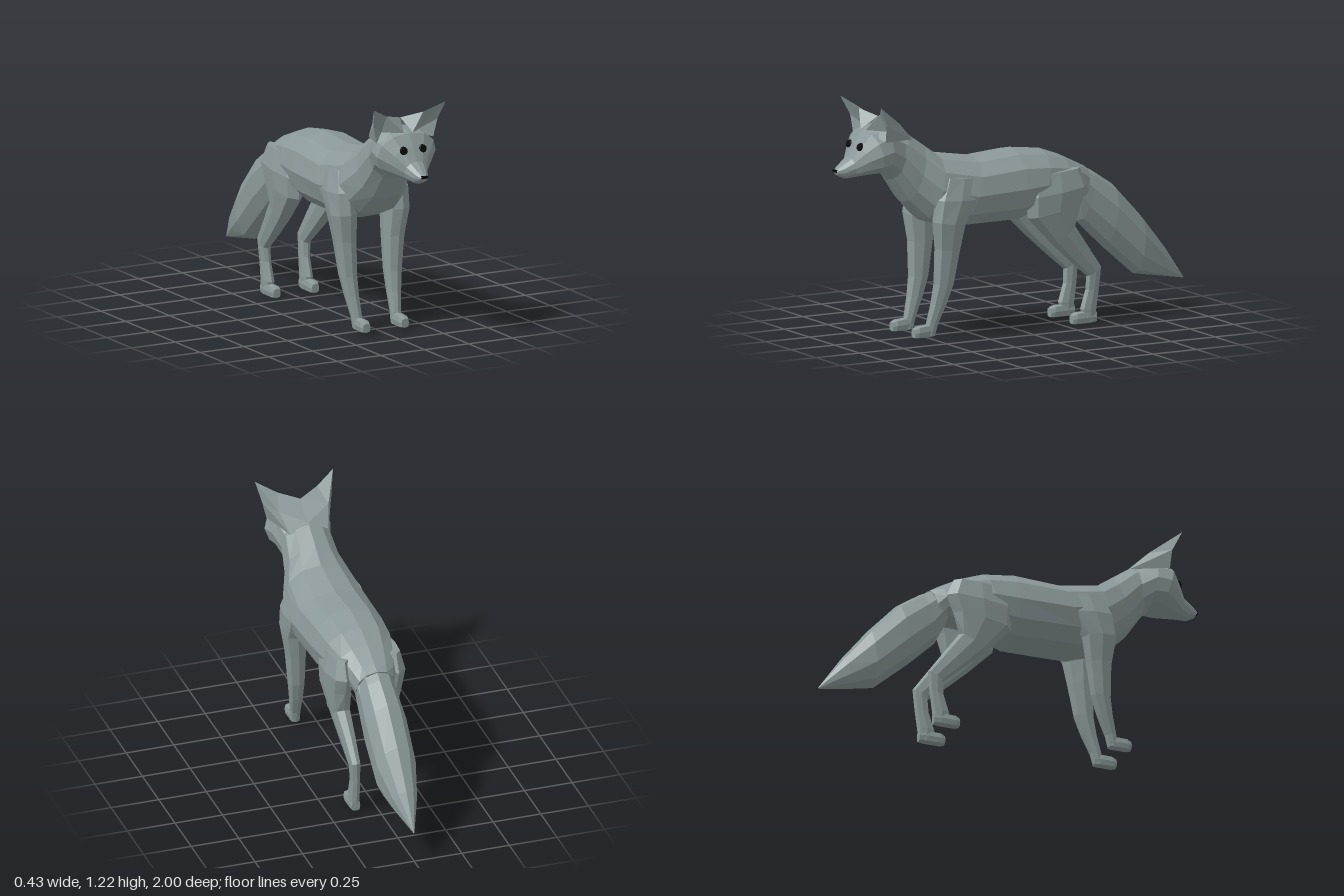
import * as THREE from 'three';

const fur = new THREE.MeshStandardMaterial({ color: 0x8b9899, flatShading: true, side: THREE.DoubleSide });
fur.name = 'greyFur';
const black = new THREE.MeshStandardMaterial({ color: 0x080808, flatShading: true });
black.name = 'black';

// Loft through oval rings; each section is [z1, y1, z2, y2, halfWidth, centreX],
// where (z1, y1) and (z2, y2) are opposite ends of the oval in the side plane.
function loft(sections, sides, power = 0.92) {
  const pos = [], index = [];
  const soft = (v) => Math.sign(v) * Math.pow(Math.abs(v), power);
  for (const [z1, y1, z2, y2, w, cx = 0] of sections) {
    for (let j = 0; j < sides; j++) {
      const a = (j / sides) * Math.PI * 2, c = soft(Math.cos(a));
      pos.push(cx + w * soft(Math.sin(a)), (y1 + y2) / 2 + c * (y1 - y2) / 2, (z1 + z2) / 2 + c * (z1 - z2) / 2);
    }
  }
  for (let i = 0; i < sections.length - 1; i++) {
    for (let j = 0; j < sides; j++) {
      const k = (j + 1) % sides, a = i * sides + j, b = i * sides + k;
      index.push(a, b, b + sides, a, b + sides, a + sides);
    }
  }
  // End caps
  const last = (sections.length - 1) * sides;
  for (let j = 1; j < sides - 1; j++) index.push(0, j + 1, j, last, last + j, last + j + 1);
  const g = new THREE.BufferGeometry();
  g.setAttribute('position', new THREE.Float32BufferAttribute(pos, 3));
  g.setIndex(index);
  const flat = g.toNonIndexed();
  flat.computeVertexNormals();
  return flat;
}

function add(parent, name, geometry, material = fur) {
  const mesh = new THREE.Mesh(geometry, material);
  mesh.name = name;
  parent.add(mesh);
  return mesh;
}

// Left ear: concave front, back sloping down into the neck
function earGeometry() {
  const p = {
    tip: [0.205, 1.215, 0.85], innerFront: [0.025, 1.075, 0.835], outerFront: [0.162, 1.03, 0.8],
    hollow: [0.115, 1.075, 0.765], outerMid: [0.183, 1.12, 0.805], innerMid: [0.105, 1.163, 0.8],
    back: [0.1, 1.02, 0.61], ridge: [0, 1.135, 0.75], backMid: [0.13, 1.11, 0.7], spine: [0, 1.06, 0.63],
  };
  const faces = [
    ['innerFront', 'hollow', 'innerMid'], ['innerMid', 'hollow', 'tip'],
    ['hollow', 'outerMid', 'tip'], ['hollow', 'outerFront', 'outerMid'], ['innerFront', 'outerFront', 'hollow'],
    ['tip', 'outerMid', 'backMid'], ['tip', 'backMid', 'innerMid'], ['innerMid', 'backMid', 'ridge'],
    ['outerMid', 'outerFront', 'back'], ['outerMid', 'back', 'backMid'],
    ['backMid', 'back', 'spine'], ['backMid', 'spine', 'ridge'], ['innerFront', 'innerMid', 'ridge'],
  ];
  const g = new THREE.BufferGeometry();
  g.setAttribute('position', new THREE.Float32BufferAttribute(faces.flat().flatMap((n) => p[n]), 3));
  g.computeVertexNormals();
  return g;
}

export function createModel() {
  const model = new THREE.Group();
  model.name = 'fox';

  // Neck, torso and rump
  add(model, 'body', loft([
    [0.76, 1.09, 0.76, 0.87, 0.125],
    [0.62, 1.055, 0.70, 0.81, 0.13],
    [0.52, 0.985, 0.62, 0.69, 0.145],
    [0.435, 0.925, 0.52, 0.59, 0.185],
    [0.22, 0.89, 0.35, 0.54, 0.205],
    [0, 0.91, 0, 0.54, 0.195],
    [-0.17, 0.89, -0.08, 0.575, 0.185],
    [-0.28, 0.85, -0.24, 0.62, 0.155],
    [-0.38, 0.80, -0.34, 0.62, 0.12],
    [-0.43, 0.775, -0.37, 0.57, 0.1],
  ], 12));

  // Bushy tail
  add(model, 'tail', loft([
    [-0.36, 0.805, -0.32, 0.63, 0.1],
    [-0.47, 0.75, -0.385, 0.5, 0.1],
    [-0.59, 0.67, -0.53, 0.36, 0.11],
    [-0.74, 0.51, -0.71, 0.205, 0.105],
    [-0.88, 0.335, -0.83, 0.185, 0.065],
    [-1, 0.16, -0.995, 0.157, 0.002],
  ], 10));

  // Head tapering to the muzzle
  const head = add(model, 'head', loft([
    [1.0, 0.885, 0.985, 0.855, 0.022],
    [0.975, 0.905, 0.945, 0.836, 0.04],
    [0.92, 0.945, 0.9, 0.84, 0.065],
    [0.882, 1.012, 0.85, 0.845, 0.115],
    [0.84, 1.075, 0.785, 0.85, 0.168],
    [0.75, 1.1, 0.735, 0.85, 0.155],
    [0.64, 1.06, 0.68, 0.80, 0.128],
  ], 12));

  const nose = add(model, 'nose', new THREE.BoxGeometry(0.034, 0.014, 0.009), black);
  nose.position.set(0, 0.88, 0.9965);

  // Parts repeated on both sides
  const ear = earGeometry();
  const frontLeg = loft([
    [0.26, 0.8, 0.46, 0.82, 0.04, 0.145],
    [0.27, 0.7, 0.51, 0.71, 0.062, 0.152],
    [0.34, 0.58, 0.52, 0.6, 0.063, 0.15],
    [0.365, 0.45, 0.5, 0.46, 0.052, 0.137],
    [0.395, 0.28, 0.5, 0.28, 0.042, 0.127],
    [0.43, 0.18, 0.515, 0.18, 0.034, 0.12],
    [0.475, 0.08, 0.535, 0.085, 0.027, 0.112],
    [0.49, 0.02, 0.55, 0.02, 0.024, 0.11],
  ], 8, 0.8);
  const hindLeg = loft([
    [-0.33, 0.8, -0.06, 0.78, 0.04, 0.135],
    [-0.37, 0.71, -0.02, 0.67, 0.062, 0.137],
    [-0.335, 0.62, -0.03, 0.565, 0.058, 0.135],
    [-0.3, 0.51, -0.17, 0.425, 0.045, 0.127],
    [-0.375, 0.405, -0.28, 0.325, 0.036, 0.12],
    [-0.46, 0.285, -0.38, 0.24, 0.027, 0.115],
    [-0.45, 0.17, -0.375, 0.17, 0.023, 0.111],
    [-0.437, 0.07, -0.345, 0.075, 0.026, 0.11],
    [-0.43, 0.012, -0.36, 0.01, 0.024, 0.11],
  ], 8, 0.8);
  const paw = (front, back, y) => loft([
    [front, y + 0.05, front, y + 0.004, 0.021, 0.11],
    [front - 0.025, y + 0.062, front - 0.015, y, 0.028, 0.11],
    [back + 0.045, y + 0.066, back + 0.03, y, 0.026, 0.11],
    [back, y + 0.06, back, y + 0.004, 0.022, 0.11],
  ], 8, 0.6);
  const frontPaw = paw(0.61, 0.495, 0.013);
  const hindPaw = paw(-0.295, -0.43, 0);

  for (const [name, side] of [['left', 1], ['right', -1]]) {
    const half = new THREE.Group();
    half.name = name + 'Side';
    half.scale.x = side;
    add(half, name + 'Ear', ear);
    add(half, name + 'FrontLeg', frontLeg);
    add(half, name + 'FrontPaw', frontPaw);
    add(half, name + 'HindLeg', hindLeg);
    add(half, name + 'HindPaw', hindPaw);
    model.add(half);
  }

  // Eyes, thin discs laid on the face
  const ray = new THREE.Raycaster();
  for (const side of [1, -1]) {
    ray.set(new THREE.Vector3(side * 0.054, 0.998, 2), new THREE.Vector3(0, 0, -1));
    const hit = ray.intersectObject(head)[0];
    const eye = add(model, side > 0 ? 'leftEye' : 'rightEye', new THREE.CylinderGeometry(0.018, 0.022, 0.009, 10), black);
    const normal = hit.face.normal.clone().add(new THREE.Vector3(0, 0, 0.5)).normalize();
    eye.quaternion.setFromUnitVectors(new THREE.Vector3(0, 1, 0), normal);
    eye.position.copy(hit.point).addScaledVector(normal, 0.005);
  }
  return model;
}
